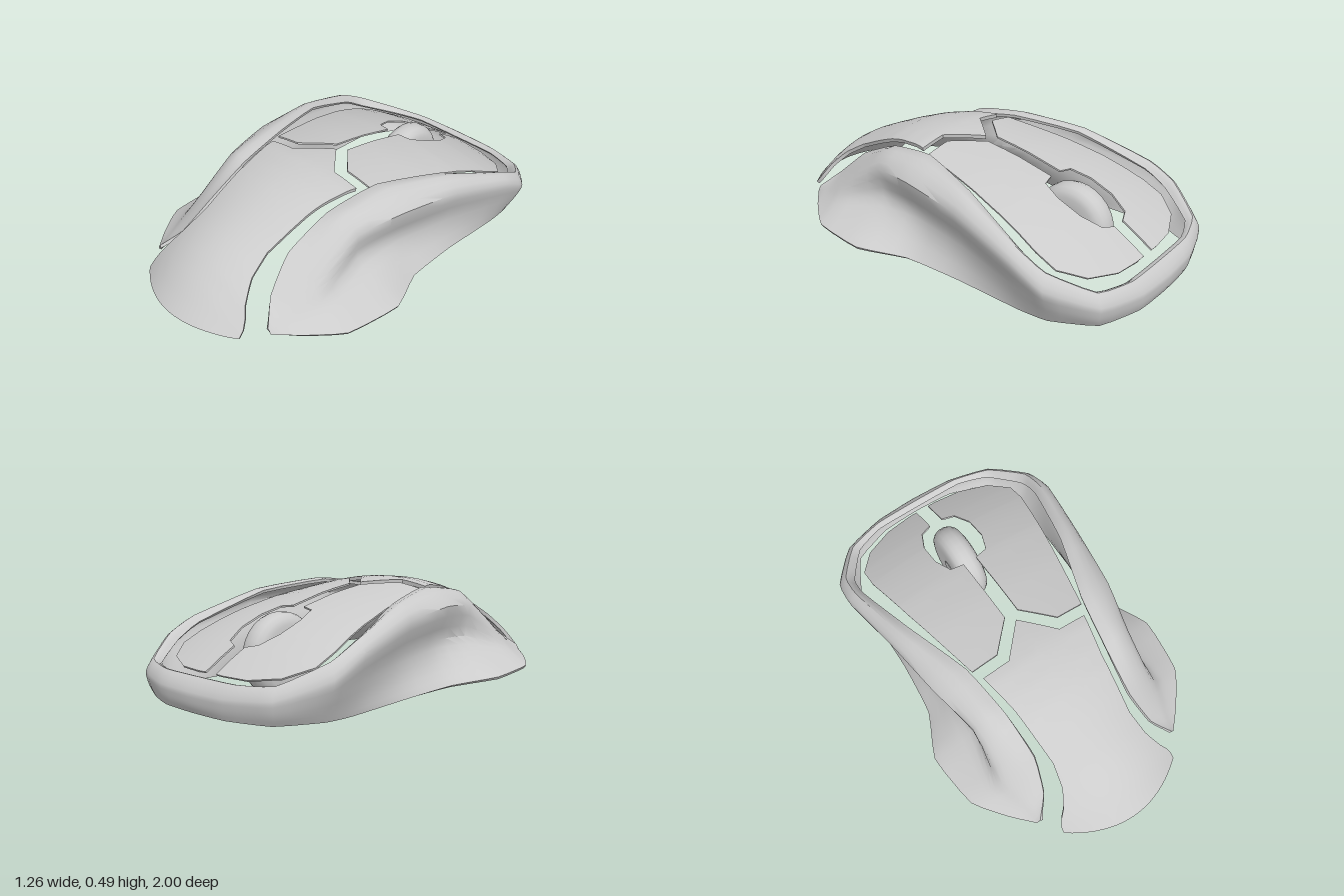
import * as THREE from 'three';
import { toCreasedNormals } from 'three/addons/utils/BufferGeometryUtils.js';

const material = new THREE.MeshStandardMaterial({ color: 0xcccccc, side: THREE.DoubleSide });

// linear lookup in a list of [position, value] knots
function lookup(knots, t) {
  if (t <= knots[0][0]) return knots[0][1];
  for (let i = 1; i < knots.length; i++) {
    const [a, va] = knots[i - 1], [b, vb] = knots[i];
    if (t <= b) return va + (vb - va) * (t - a) / (b - a);
  }
  return knots[knots.length - 1][1];
}

// height of the top surface: a ridge line along z, falling off to the sides
const ridge = [[-0.9, 0.155], [-0.8, 0.22], [-0.7, 0.277], [-0.6, 0.325], [-0.5, 0.365], [-0.4, 0.398], [-0.2, 0.447],
  [0, 0.477], [0.1, 0.49], [0.19, 0.496], [0.3, 0.486], [0.4, 0.465], [0.5, 0.43], [0.62, 0.38],
  [0.72, 0.335], [0.8, 0.288], [0.88, 0.225], [0.94, 0.165], [1, 0.103]];
const fall = [[-0.9, 0.25], [-0.3, 0.3], [0.2, 0.38], [0.4, 0.6], [0.6, 0.9], [0.8, 1.15], [0.9, 1.35]];
const topPoint = (x, z) => new THREE.Vector3(x, lookup(ridge, z) - lookup(fall, z) * x * x, z);

// turns a grid of points (rows x columns) into a closed shell of even thickness
function shell(name, grid, thickness) {
  const rows = grid.length, cols = grid[0].length, count = rows * cols;
  const at = (i, j) => i * cols + j;
  const outer = [], index = [];
  grid.flat().forEach(p => outer.push(p.x, p.y, p.z));
  for (let i = 0; i < rows - 1; i++) {
    for (let j = 0; j < cols - 1; j++) {
      const a = at(i, j), b = at(i + 1, j), c = at(i + 1, j + 1), d = at(i, j + 1);
      index.push(a, b, c, a, c, d);
    }
  }
  const skin = new THREE.BufferGeometry();
  skin.setAttribute('position', new THREE.Float32BufferAttribute(outer, 3));
  skin.setIndex(index);
  skin.computeVertexNormals();
  const normal = skin.attributes.normal.array;
  const inner = outer.map((v, i) => v - normal[i] * thickness);

  const faces = [...index];
  for (let k = 0; k < index.length; k += 3) {
    faces.push(index[k] + count, index[k + 2] + count, index[k + 1] + count);
  }
  // walls round the rim
  const rim = [];
  for (let i = 0; i < rows - 1; i++) rim.push(at(i, 0));
  for (let j = 0; j < cols - 1; j++) rim.push(at(rows - 1, j));
  for (let i = rows - 1; i > 0; i--) rim.push(at(i, cols - 1));
  for (let j = cols - 1; j > 0; j--) rim.push(at(0, j));
  rim.forEach((p, k) => {
    const q = rim[(k + 1) % rim.length];
    faces.push(p + count, q + count, q, p + count, q, p);
  });

  const geometry = new THREE.BufferGeometry();
  geometry.setAttribute('position', new THREE.Float32BufferAttribute(outer.concat(inner), 3));
  geometry.setIndex(faces);
  const mesh = new THREE.Mesh(toCreasedNormals(geometry, 0.7), material);
  mesh.name = name;
  return mesh;
}

// central palm rest: pointed front edge, narrow waist, flared tail
function palmRest() {
  const width = [[0.15, 0.275], [0.345, 0.237], [0.62, 0.212], [0.73, 0.232], [0.81, 0.278], [0.84, 0.314], [0.88, 0.317]];
  const grid = [];
  for (let i = 0; i <= 28; i++) {
    const row = [];
    for (let j = -10; j <= 10; j++) {
      const u = j / 10;
      const front = Math.min(0.15, 0.3 * Math.abs(u)), tail = 0.997 - 0.117 * u * u;
      const z = THREE.MathUtils.lerp(front, tail, i / 28);
      row.push(topPoint(u * lookup(width, z), z));
    }
    grid.push(row);
  }
  return shell('palmRest', grid, 0.018);
}

// thin click panel, cut out round the wheel
function button(name, side) {
  const innerEdge = [[-0.885, 0.035], [-0.735, 0.035], [-0.71, 0.095], [-0.62, 0.132], [-0.505, 0.132],
    [-0.415, 0.1], [-0.4, 0.035], [-0.04, 0.035], [0.095, 0.165]];
  const outerEdge = [[-0.885, 0.08], [-0.87, 0.215], [-0.81, 0.355], [-0.71, 0.438], [-0.61, 0.438],
    [-0.345, 0.39], [0.095, 0.3]];
  const stops = [...innerEdge, ...outerEdge].map(k => k[0]);
  for (let z = -0.3; z < 0.06; z += 0.08) stops.push(z);
  const rows = [...new Set(stops)].sort((a, b) => a - b);
  const grid = rows.map(z => {
    const row = [];
    for (let j = 0; j <= 8; j++) {
      row.push(topPoint(side * THREE.MathUtils.lerp(lookup(innerEdge, z), lookup(outerEdge, z), j / 8), z));
    }
    return side > 0 ? row : row.reverse();
  });
  return shell(name, grid, 0.008);
}

// horseshoe side frame: rails run from the tail tip to the middle of the nose
const rails = {
  gapEdge: [[0.38, 0.125, 0.775], [0.305, 0.205, 0.69], [0.265, 0.33, 0.55], [0.275, 0.43, 0.33], [0.315, 0.468, 0.07],
    [0.42, 0.425, -0.25], [0.5, 0.295, -0.58], [0.497, 0.225, -0.7], [0.385, 0.155, -0.865], [0.24, 0.147, -0.918], [0, 0.145, -0.922]],
  crest: [[0.383, 0.12, 0.775], [0.345, 0.18, 0.69], [0.345, 0.28, 0.55], [0.355, 0.438, 0.31], [0.38, 0.47, 0.06],
    [0.47, 0.432, -0.25], [0.535, 0.325, -0.58], [0.53, 0.257, -0.72], [0.41, 0.172, -0.89], [0.23, 0.16, -0.945], [0, 0.16, -0.95]],
  shoulder: [[0.386, 0.115, 0.775], [0.385, 0.155, 0.69], [0.42, 0.215, 0.55], [0.43, 0.37, 0.3], [0.485, 0.395, 0.06],
    [0.53, 0.365, -0.25], [0.582, 0.28, -0.58], [0.57, 0.195, -0.735], [0.428, 0.12, -0.92], [0.21, 0.105, -0.987], [0, 0.105, -0.998]],
  hollow: [[0.389, 0.11, 0.775], [0.42, 0.128, 0.69], [0.475, 0.155, 0.54], [0.415, 0.23, 0.28], [0.435, 0.24, 0.05],
    [0.485, 0.22, -0.25], [0.555, 0.175, -0.58], [0.55, 0.125, -0.735], [0.426, 0.085, -0.918], [0.21, 0.075, -0.987], [0, 0.075, -1]],
  skirt: [[0.392, 0.105, 0.775], [0.455, 0.107, 0.685], [0.54, 0.112, 0.53], [0.52, 0.135, 0.265], [0.465, 0.14, 0.04],
    [0.485, 0.12, -0.25], [0.53, 0.09, -0.58], [0.525, 0.07, -0.73], [0.418, 0.05, -0.91], [0.205, 0.045, -0.982], [0, 0.045, -0.995]],
  foot: [[0.395, 0.1, 0.775], [0.485, 0.092, 0.68], [0.6, 0.079, 0.525], [0.632, 0.068, 0.25], [0.535, 0.048, 0.03],
    [0.51, 0.03, -0.25], [0.51, 0.016, -0.58], [0.5, 0.016, -0.72], [0.4, 0.016, -0.9], [0.2, 0.016, -0.972], [0, 0.016, -0.982]],
};

function sideFrame() {
  const curves = Object.values(rails).map(half => {
    const mirrored = half.slice(0, -1).reverse().map(([x, y, z]) => [-x, y, z]);
    const points = [...half, ...mirrored].map(p => new THREE.Vector3(...p));
    return new THREE.CatmullRomCurve3(points, false, 'catmullrom', 0.2);
  });
  const along = 60, across = 15;
  const grid = Array.from({ length: across + 1 }, () => []);
  for (let j = 0; j <= along; j++) {
    const section = new THREE.CatmullRomCurve3(curves.map(c => c.getPoint(j / along)));
    for (let i = 0; i <= across; i++) grid[i].push(section.getPoint(i / across));
  }
  return shell('sideFrame', grid, 0.015);
}

// scroll wheel with a broad rounded tread and small hubs
function scrollWheel() {
  const wheel = new THREE.Group();
  wheel.name = 'scrollWheel';
  const half = [[0, 0.064], [0.1, 0.066], [0.14, 0.065], [0.165, 0.056], [0.182, 0.038], [0.19, 0.016]];
  const profile = [...half.map(([r, h]) => [r, -h]), ...half.slice().reverse()];
  const tread = new THREE.Mesh(new THREE.LatheGeometry(profile.map(p => new THREE.Vector2(...p)), 28), material);
  tread.name = 'tread';
  const hub = new THREE.Mesh(new THREE.CylinderGeometry(0.04, 0.04, 0.134, 12), material);
  hub.name = 'hub';
  wheel.add(tread, hub);
  wheel.rotation.z = Math.PI / 2;
  wheel.position.set(0, 0.192, -0.51);
  return wheel;
}

export function createModel() {
  const model = new THREE.Group();
  model.name = 'computerMouse';
  model.add(palmRest(), button('leftButton', 1), button('rightButton', -1), sideFrame(), scrollWheel());
  return model;
}
